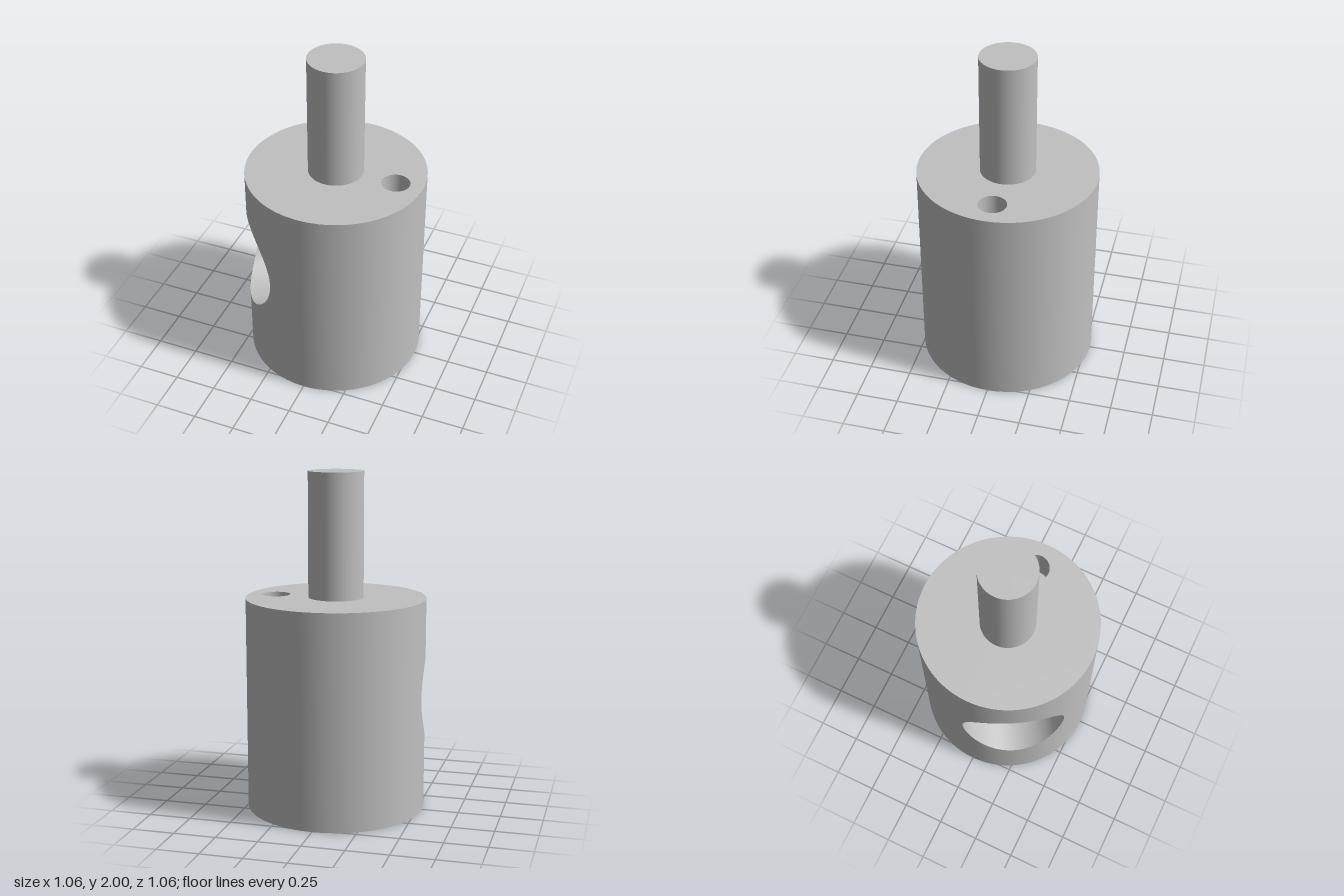
import * as THREE from 'three';

const R = 0.53, TOP = 1.265;            // body
const STUD = 0.1625;                    // top stud radius
const CROSS = 0.307, CY = 0.693;        // side socket radius and axis height
const DEPTH = 0.2;                      // how far the socket passes the centre
const BORE = 0.18;                      // bottom bore radius
const PIN = 0.083, PIN_X = 0.367, PIN_DEPTH = 0.25;

// Ruled surface between two rails lo(t) and hi(t), t in 0..1
function ruled(lo, hi, n = 64) {
  const pos = [], idx = [];
  for (let i = 0; i <= n; i++) {
    pos.push(...lo(i / n), ...hi(i / n));
    if (i < n) {
      const a = i * 2;
      idx.push(a, a + 2, a + 1, a + 2, a + 3, a + 1);
    }
  }
  const g = new THREE.BufferGeometry();
  g.setAttribute('position', new THREE.Float32BufferAttribute(pos, 3));
  g.setIndex(idx);
  g.computeVertexNormals();
  return g;
}

// Flat disc with an optional round hole, in the xy plane
function disc(radius, hole, hx = 0) {
  const s = new THREE.Shape().absarc(0, 0, radius, 0, Math.PI * 2, false);
  if (hole) s.holes.push(new THREE.Path().absarc(hx, 0, hole, 0, Math.PI * 2, true));
  return new THREE.ShapeGeometry(s, 64);
}

export function createModel() {
  const steel = new THREE.MeshStandardMaterial({ color: 0xc0c0c0, side: THREE.DoubleSide });
  steel.name = 'steel';
  const model = new THREE.Group();
  model.name = 'studConnector';
  const add = (parent, name, geo) => {
    const m = new THREE.Mesh(geo, steel);
    m.name = name;
    parent.add(m);
    return m;
  };

  // Stud
  add(model, 'stud', new THREE.CylinderGeometry(STUD, STUD, 2 - TOP, 64)).position.y = (2 + TOP) / 2;

  // End faces of the body
  add(model, 'topFace', disc(R, PIN, PIN_X).rotateX(-Math.PI / 2)).position.y = TOP;
  add(model, 'bottomFace', disc(R, BORE).rotateX(Math.PI / 2));

  // Small blind pin hole in the top
  const pinAt = y => t => {
    const a = t * Math.PI * 2;
    return [PIN_X + PIN * Math.cos(a), y, PIN * Math.sin(a)];
  };
  add(model, 'pinHoleWall', ruled(pinAt(TOP - PIN_DEPTH), pinAt(TOP), 48));
  add(model, 'pinHoleFloor', disc(PIN).rotateX(-Math.PI / 2)).position.set(PIN_X, TOP - PIN_DEPTH, 0);

  // Body wall and socket share a frame whose +x is the socket axis
  const body = new THREE.Group();
  body.name = 'body';
  body.rotation.y = Math.PI * 7 / 6;
  model.add(body);

  // Body wall: plain sweep, then strips below and above the socket mouth
  const wall = (phi, y) => [R * Math.cos(phi), y, -R * Math.sin(phi)];
  const edge = Math.asin(CROSS / R);
  const around = t => edge + t * 2 * (Math.PI - edge);
  const swing = t => (t - 0.5) * Math.PI;
  const mouth = t => Math.asin(CROSS * Math.sin(swing(t)) / R);
  const rise = t => CROSS * Math.cos(swing(t));
  add(body, 'bodyWall', ruled(t => wall(around(t), 0), t => wall(around(t), TOP), 96));
  add(body, 'bodyWallBelowSocket', ruled(t => wall(mouth(t), 0), t => wall(mouth(t), CY - rise(t))));
  add(body, 'bodyWallAboveSocket', ruled(t => wall(mouth(t), CY + rise(t)), t => wall(mouth(t), TOP)));

  // Socket wall: plain sweep, then strips behind and ahead of the bore opening
  const socket = (a, x) => [x, CY - CROSS * Math.cos(a), CROSS * Math.sin(a)];
  const lip = a => Math.sqrt(R * R - (CROSS * Math.sin(a)) ** 2);
  const open = Math.asin(BORE / CROSS);
  const sweep = t => open + t * 2 * (Math.PI - open);
  const slit = t => Math.asin(BORE * Math.sin(swing(t)) / CROSS);
  const gap = t => BORE * Math.cos(swing(t));
  add(body, 'socketWall', ruled(t => socket(sweep(t), -DEPTH), t => socket(sweep(t), lip(sweep(t))), 96));
  add(body, 'socketWallBehindBore', ruled(t => socket(slit(t), -DEPTH), t => socket(slit(t), -gap(t))));
  add(body, 'socketWallAheadOfBore', ruled(t => socket(slit(t), gap(t)), t => socket(slit(t), lip(slit(t)))));
  add(body, 'socketFloor', disc(CROSS).rotateY(Math.PI / 2)).position.set(-DEPTH, CY, 0);

  // Bottom bore, running up into the socket
  const bore = (t, top) => {
    const a = t * Math.PI * 2, z = BORE * Math.sin(a);
    return [BORE * Math.cos(a), top ? CY - Math.sqrt(CROSS * CROSS - z * z) : 0, z];
  };
  add(body, 'boreWall', ruled(t => bore(t, false), t => bore(t, true)));

  return model;
}
